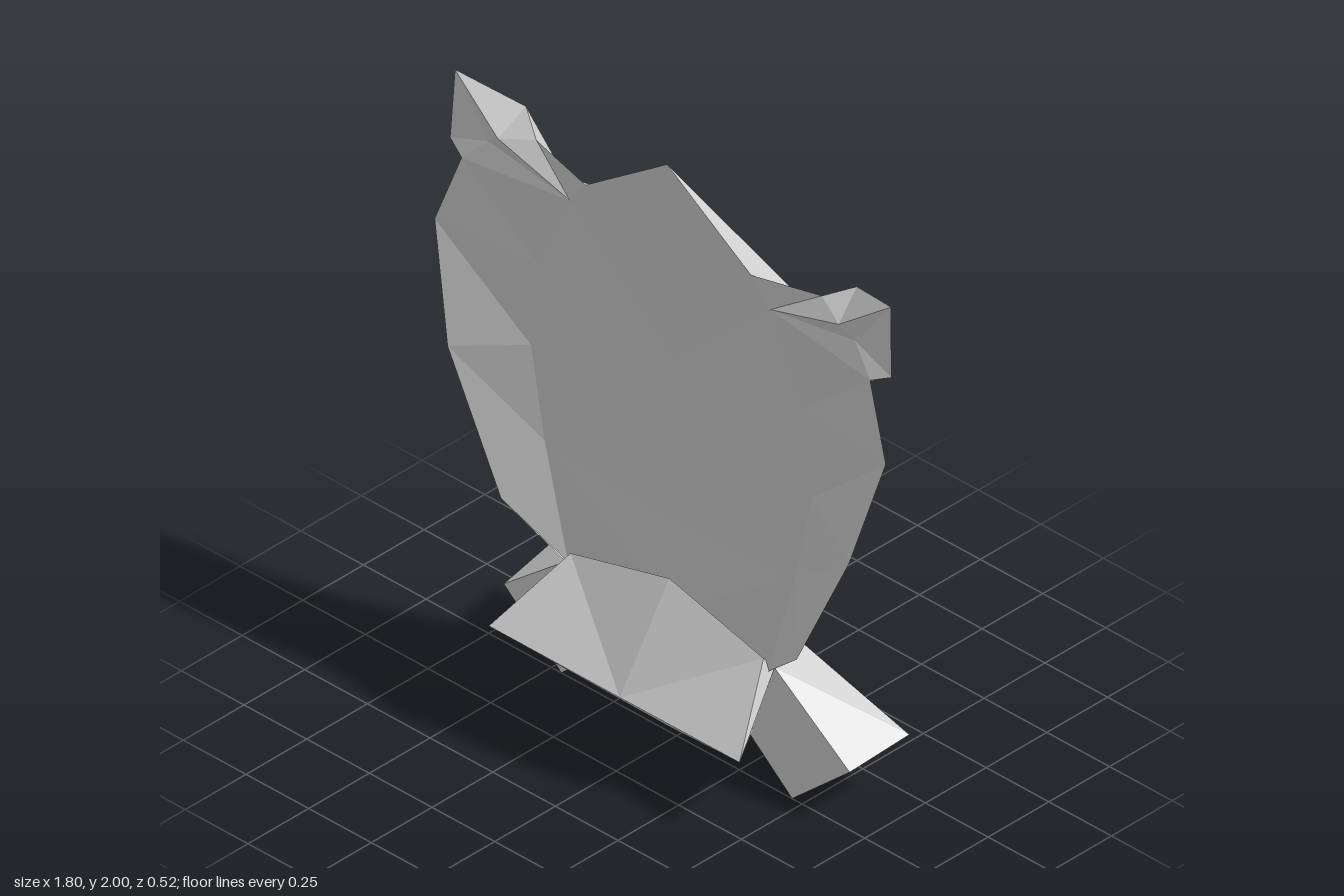
import * as THREE from 'three';

const material = new THREE.MeshStandardMaterial({ color: 0xcccccc, flatShading: true, side: THREE.DoubleSide });

// Faceted mesh from polygons given for the +x half; the other half is mirrored.
function facets(name, polygons) {
  const out = [];
  const flip = ([x, y, z]) => [-x, y, z];
  for (const p of polygons) {
    for (let i = 1; i < p.length - 1; i++) {
      out.push(...p[0], ...p[i], ...p[i + 1]);
      out.push(...flip(p[0]), ...flip(p[i + 1]), ...flip(p[i]));
    }
  }
  const g = new THREE.BufferGeometry();
  g.setAttribute('position', new THREE.Float32BufferAttribute(out, 3));
  g.computeVertexNormals();
  const mesh = new THREE.Mesh(g, material);
  mesh.name = name;
  return mesh;
}

// Quads between two columns of points, listed top to bottom.
function strip(a, b, facingBack = false) {
  return a.slice(1).map((_, i) => (facingBack
    ? [b[i], b[i + 1], a[i + 1], a[i]]
    : [a[i + 1], b[i + 1], b[i], a[i]]));
}

export function createModel() {
  const model = new THREE.Group();

  // Body columns, top to bottom
  const rim = [[0.815, 1.64, 0.045], [0.9, 1.4, 0.068], [0.8, 1.03, 0.118], [0.59, 0.6, 0.115], [0.4, 0.43, 0.04]];
  const frontMid = [[0, 1.7, 0.028], [0, 1.32, 0.015], [0, 1.03, 0.012], [0, 0.76, 0.018], [0, 0.45, 0.03]];
  const frontRib = [[0.4, 1.68, 0.028], [0.52, 1.39, 0.025], [0.56, 1.1, 0.022], [0.5, 0.8, 0.028], [0.4, 0.43, 0.035]];
  const backMid = [[0, 1.68, -0.088], [0, 1.37, -0.1], [0, 1.08, -0.118], [0, 0.79, -0.11], [0, 0.6, -0.125]];
  const backRib = [[0.42, 1.67, -0.085], [0.51, 1.4, -0.085], [0.53, 1.1, -0.048], [0.5, 0.8, -0.045], [0.38, 0.43, -0.135]];

  // Crown and ear points
  const peak = [0, 2, 0.04], crownBack = [0, 1.77, -0.068], dip = [0.33, 1.77, 0.035];
  const brow = [0.57, 1.79, -0.01], browOut = [0.66, 1.84, -0.06];
  const tip = [0.87, 1.905, 0.015], low = [0.88, 1.67, 0.025];
  const fold = [0.68, 1.765, 0.035], hollow = [0.73, 1.725, 0.02];
  const earRoot = [0.53, 1.64, -0.09];
  const notch = rim[0];

  model.add(facets('bodyFront', [
    [frontMid[0], frontRib[0], dip, peak],
    ...strip(frontMid, frontRib),
    ...strip(frontRib, rim),
  ]));

  model.add(facets('bodyBack', [
    [peak, dip, backRib[0], crownBack],
    [crownBack, backRib[0], backMid[0]],
    ...strip(backMid, backRib, true),
    ...strip(backRib.slice(1), rim.slice(1), true),
    [notch, rim[1], backRib[1]],
    [backRib[0], earRoot, backRib[1]],
  ]));

  model.add(facets('ears', [
    [frontRib[0], fold, brow, dip], [fold, tip, browOut, brow],
    [fold, hollow, tip], [frontRib[0], hollow, fold],
    [hollow, low, tip], [hollow, notch, low], [frontRib[0], notch, hollow],
    [dip, brow, earRoot, backRib[0]], [brow, browOut, earRoot],
    [browOut, tip, earRoot], [earRoot, tip, low, backRib[1]],
    [low, notch, backRib[1]],
  ]));

  // Feet: four-sided blocks splayed outwards; corners run front top, back top, back bottom, front bottom
  const inner = [[0.4, 0.43, 0.01], backRib[4], [0.2, 0.28, -0.16], [0.2, 0.24, 0.01]];
  const outer = [[0.69, 0.2, 0], [0.71, 0.23, -0.225], [0.5, 0.07, -0.26], [0.46, 0, 0]];
  model.add(facets('feet', [
    ...inner.map((p, i) => [p, outer[i], outer[(i + 1) % 4], inner[(i + 1) % 4]]),
    outer,
  ]));

  // Underside joining body and feet
  const crotch = [0, 0.36, -0.125], crotchFront = [0, 0.3, 0.01];
  model.add(facets('underside', [
    [backMid[4], backRib[4], inner[2], crotch],
    [crotch, inner[2], inner[3], crotchFront],
  ]));

  // Front ledge: wedge with a sharp forward edge
  const topMid = [0, 0.56, 0.03], topEnd = [0.385, 0.47, 0.04];
  const edgeMid = [0, 0.247, 0.235], edgeEnd = [0.5, 0.27, 0.258];
  const baseMid = [0, 0.053, 0.038], baseEnd = [0.295, 0.08, 0.045];
  const backTop = [0.4, 0.43, 0.01], backBase = [0.3, 0.14, 0.01], backMidBase = [0, 0.12, 0.01];
  model.add(facets('frontLedge', [
    [edgeMid, edgeEnd, topEnd, topMid],
    [baseMid, baseEnd, edgeEnd, edgeMid],
    [edgeEnd, backTop, topEnd],
    [edgeEnd, baseEnd, backBase, backTop],
    [baseMid, backMidBase, backBase, baseEnd],
    [backMidBase, [0, 0.45, 0.01], backTop, backBase],
  ]));

  return model;
}
